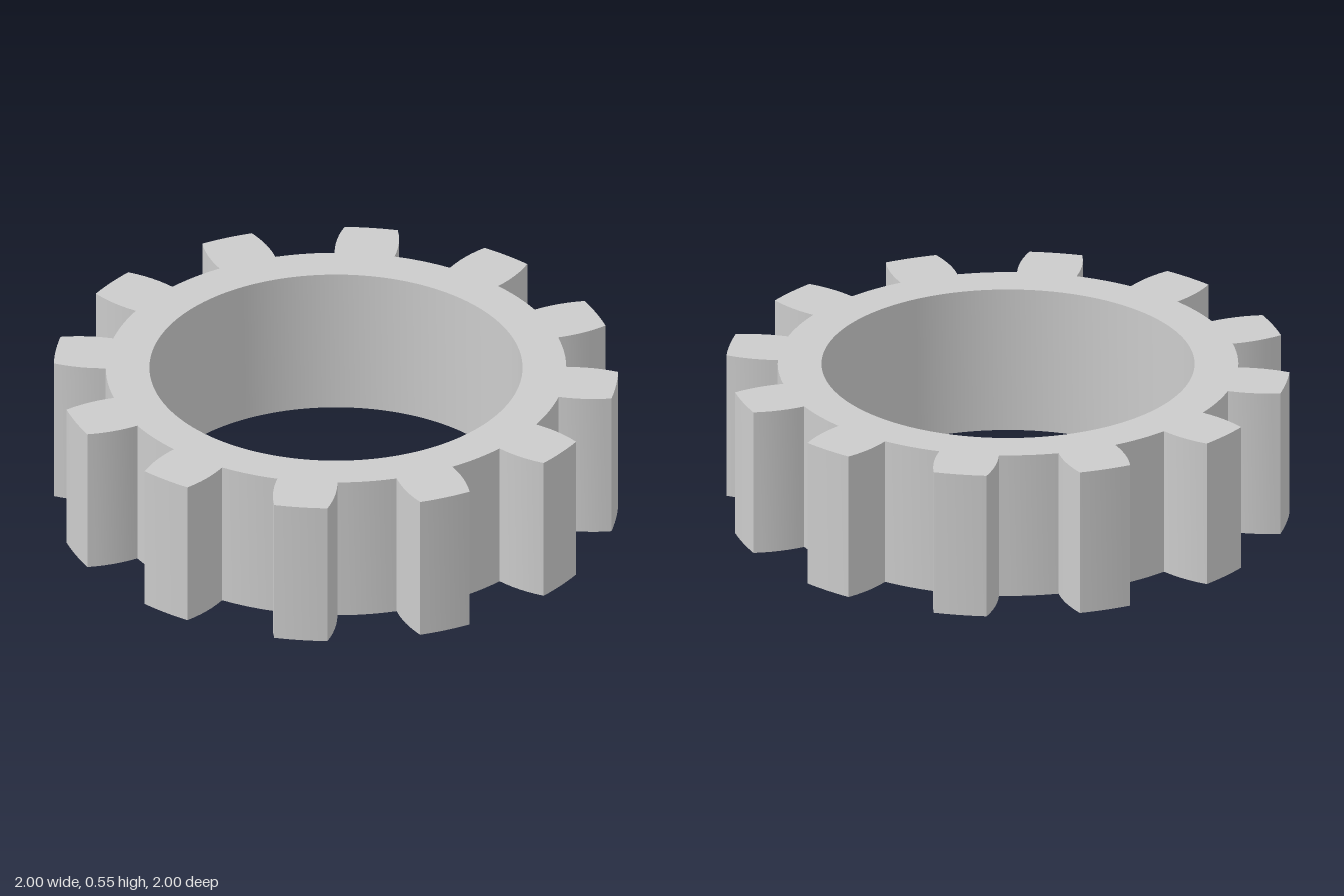
import * as THREE from 'three';
import { toCreasedNormals } from 'three/addons/utils/BufferGeometryUtils.js';

const TEETH = 12;
const HEIGHT = 0.55;
const BORE_RADIUS = 0.67;
const ROOT_RADIUS = 0.827;
const TIP_RADIUS = 1.014;
const FLANK_STEPS = 6;
const ARC_STEPS = 6;

// Half the angular width of a tooth, in degrees, narrowing from root (t = 0) to tip (t = 1)
const halfWidth = (t) => 7.55 - 2.1 * Math.pow(t, 1.9);

function gearOutline() {
  const points = [];
  const add = (radius, degrees) => {
    const a = THREE.MathUtils.degToRad(degrees);
    points.push(new THREE.Vector2(radius * Math.cos(a), radius * Math.sin(a)));
  };
  const flankRadius = (t) => THREE.MathUtils.lerp(ROOT_RADIUS, TIP_RADIUS, t);
  const pitch = 360 / TEETH;

  for (let i = 0; i < TEETH; i++) {
    const centre = (i + 0.5) * pitch;
    // Rising flank
    for (let s = 0; s <= FLANK_STEPS; s++) {
      const t = s / FLANK_STEPS;
      add(flankRadius(t), centre - halfWidth(t));
    }
    // Tip arc
    for (let s = 1; s < ARC_STEPS; s++) {
      add(TIP_RADIUS, centre + halfWidth(1) * (2 * s / ARC_STEPS - 1));
    }
    // Falling flank
    for (let s = FLANK_STEPS; s >= 0; s--) {
      const t = s / FLANK_STEPS;
      add(flankRadius(t), centre + halfWidth(t));
    }
    // Root arc to the next tooth
    const gap = pitch - 2 * halfWidth(0);
    for (let s = 1; s < ARC_STEPS; s++) {
      add(ROOT_RADIUS, centre + halfWidth(0) + gap * s / ARC_STEPS);
    }
  }
  return new THREE.Shape(points);
}

export function createModel() {
  const group = new THREE.Group();
  group.name = 'ringGear';

  // Toothed ring with a round bore, standing flat on the ground
  const shape = gearOutline();
  shape.holes.push(new THREE.Path().absarc(0, 0, BORE_RADIUS, 0, Math.PI * 2, true));
  const extruded = new THREE.ExtrudeGeometry(shape, {
    depth: HEIGHT, bevelEnabled: false, curveSegments: 96,
  });
  extruded.rotateX(-Math.PI / 2);

  const gear = new THREE.Mesh(
    toCreasedNormals(extruded, 0.5),
    new THREE.MeshStandardMaterial({ color: 0xcccccc }),
  );
  gear.name = 'toothedRing';
  group.add(gear);
  return group;
}
